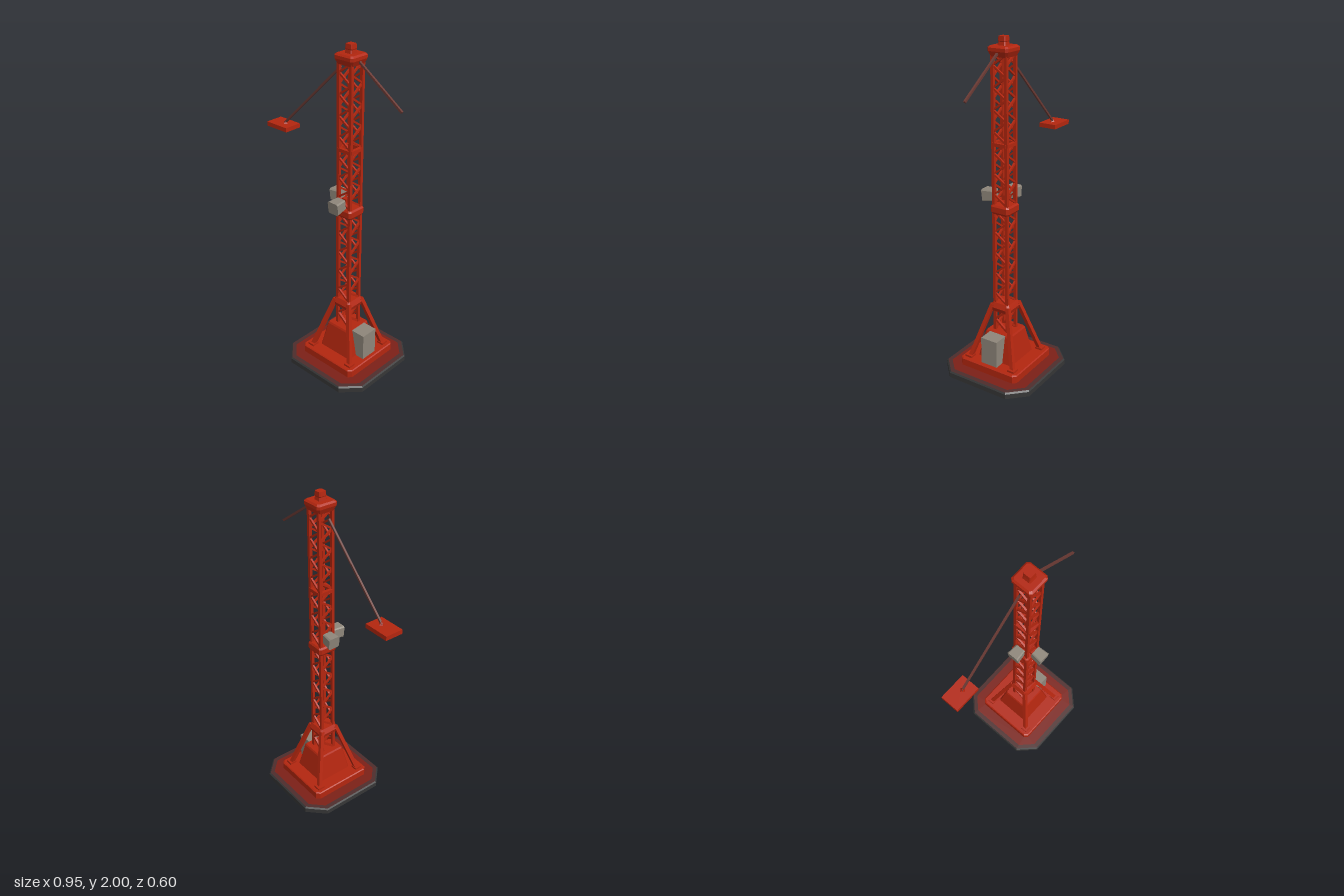
import * as THREE from 'three';

const mat = (name, color) => {
  const m = new THREE.MeshStandardMaterial({ color, flatShading: true, side: THREE.DoubleSide });
  m.name = name;
  return m;
};

// Stacked chamfered squares: each ring is [half width, corner cut, height]
function loft(rings, capBottom = true, capTop = true) {
  const pos = [];
  const loops = rings.map(([h, c, y]) => {
    const k = h - c;
    return [[h, k], [h, -k], [k, -h], [-k, -h], [-h, -k], [-h, k], [-k, h], [k, h]].map(([x, z]) => [x, y, z]);
  });
  const tri = (...p) => p.forEach(v => pos.push(...v));
  for (let r = 0; r < loops.length - 1; r++) {
    for (let i = 0; i < 8; i++) {
      const j = (i + 1) % 8, a = loops[r], b = loops[r + 1];
      tri(a[i], a[j], b[j]);
      tri(a[i], b[j], b[i]);
    }
  }
  const first = loops[0], last = loops[loops.length - 1];
  for (let i = 0; i < 8; i++) {
    const j = (i + 1) % 8;
    if (capBottom) tri([0, first[0][1], 0], first[j], first[i]);
    if (capTop) tri([0, last[0][1], 0], last[i], last[j]);
  }
  const g = new THREE.BufferGeometry();
  g.setAttribute('position', new THREE.Float32BufferAttribute(pos, 3));
  g.computeVertexNormals();
  return g;
}

export function createModel() {
  const red = mat('red paint', 0xb3260f);
  const dark = mat('dark rubber', 0x363636);
  const fadeInner = mat('dull red', 0x7c2017);
  const fadeOuter = mat('brown grey', 0x4e2d2c);
  const grey = mat('warm grey', 0x8e867a);
  const cableMat = mat('cable brown', 0x6b3a34);

  const model = new THREE.Group();
  const tower = new THREE.Group();
  tower.name = 'tower';
  tower.position.x = 0.125;
  model.add(tower);

  const add = (parent, name, geo, material) => {
    const m = new THREE.Mesh(geo, material);
    m.name = name;
    parent.add(m);
    return m;
  };
  const box = (parent, name, size, at, material) => {
    const m = add(parent, name, new THREE.BoxGeometry(...size), material);
    m.position.set(...at);
    return m;
  };
  // Square bar between two points
  const strut = (parent, name, from, to, w, material = red) => {
    const a = new THREE.Vector3(...from), b = new THREE.Vector3(...to);
    const dir = b.clone().sub(a);
    const m = add(parent, name, new THREE.BoxGeometry(w, dir.length(), w), material);
    m.position.copy(a).lerp(b, 0.5);
    m.quaternion.setFromUnitVectors(new THREE.Vector3(0, 1, 0), dir.normalize());
    return m;
  };

  // Foot slab with hollow underside, and its faded top bands
  add(tower, 'footSlab', loft([[0.12, 0.04, 0.035], [0.2, 0.07, 0], [0.28, 0.095, 0], [0.3, 0.1, 0.012],
    [0.3, 0.1, 0.042], [0.293, 0.098, 0.05]], true, false), dark);
  add(tower, 'slabOuterBand', loft([[0.293, 0.098, 0.05], [0.265, 0.075, 0.051]], false, false), fadeOuter);
  add(tower, 'slabInnerBand', loft([[0.265, 0.075, 0.051], [0.2, 0.02, 0.052]], false, false), fadeInner);

  // Plinth and sloping cabin
  add(tower, 'plinth', loft([[0.2, 0.02, 0.05], [0.2, 0.02, 0.095], [0.194, 0.02, 0.1]]), red);
  add(tower, 'cabin', loft([[0.118, 0.008, 0.1], [0.088, 0.008, 0.26], [0.082, 0.008, 0.27]]), red);
  box(tower, 'controlBox', [0.1, 0.17, 0.11], [0.125, 0.183, 0], grey);

  // Splayed legs and main posts
  const corners = [[1, 1], [1, -1], [-1, -1], [-1, 1]];
  for (const [x, z] of corners) {
    strut(tower, 'leg', [x * 0.152, 0.095, z * 0.152], [x * 0.053, 0.44, z * 0.053], 0.024);
    box(tower, 'legFoot', [0.045, 0.014, 0.045], [x * 0.152, 0.105, z * 0.152], red);
    strut(tower, 'post', [x * 0.043, 0.26, z * 0.043], [x * 0.043, 1.94, z * 0.043], 0.018);
  }

  // Lattice: each face zigzags, opposite faces lean the other way
  const lattice = (name, y0, y1, steps, w) => {
    const d = (y1 - y0) / steps, r = 0.043;
    for (let f = 0; f < 4; f++) {
      const side = new THREE.Group();
      side.name = name;
      side.rotation.y = f * Math.PI / 2;
      tower.add(side);
      for (let i = 0; i < steps; i++) {
        const s = i % 2 ? -r : r;
        strut(side, 'brace', [s, y0 + i * d, r], [-s, y0 + (i + 1) * d, r], w);
      }
    }
  };
  lattice('footLattice', 0.27, 0.41, 2, 0.013);
  lattice('lowerLattice', 0.45, 1.03, 9, 0.011);
  lattice('upperLattice', 1.07, 1.91, 14, 0.011);

  // Collars, cap and finial
  add(tower, 'legCollar', loft([[0.062, 0.012, 0.4], [0.07, 0.014, 0.425], [0.055, 0.01, 0.455]]), red);
  add(tower, 'middleCollar', loft([[0.054, 0.012, 1.015], [0.062, 0.012, 1.028], [0.062, 0.012, 1.06], [0.054, 0.01, 1.07]]), red);
  for (const [x, z] of corners) {
    strut(tower, 'upperRing', [x * 0.045, 1.42, z * 0.045], [-z * 0.045, 1.42, x * 0.045], 0.02);
  }
  add(tower, 'topCap', loft([[0.052, 0.008, 1.895], [0.066, 0.012, 1.925], [0.066, 0.012, 1.943], [0.056, 0.01, 1.952]]), red);
  add(tower, 'finial', loft([[0.026, 0.006, 1.95], [0.022, 0.005, 1.97], [0.024, 0.005, 1.975], [0.022, 0.005, 2]]), red);

  // Floodlights on the front and right sides
  const lamp = (name, turn, y) => {
    const g = new THREE.Group();
    g.name = name;
    g.rotation.y = turn;
    tower.add(g);
    const head = add(g, 'lampHead', loft([[0.031, 0.006, -0.035], [0.037, 0.008, 0.035]]), grey);
    head.position.set(0, y, 0.1);
    head.rotation.x = Math.PI / 2 + 0.12;
    box(g, 'lampBracket', [0.03, 0.02, 0.05], [0, y - 0.02, 0.055], red);
  };
  lamp('frontLamp', 0, 1.105);
  lamp('rightLamp', -Math.PI / 2, 1.12);
  tower.getObjectByName('rightLamp').position.x = 0.02;

  // Cables and hanging weight
  strut(model, 'rightCable', [0.055, 1.865, 0], [-0.385, 1.435, 0], 0.011, cableMat);
  strut(model, 'leftCable', [0.17, 1.925, 0], [0.47, 1.715, 0], 0.012, cableMat);
  box(model, 'weight', [0.16, 0.026, 0.11], [-0.4, 1.419, 0], red);
  const hook = add(model, 'weightHook', new THREE.ConeGeometry(0.018, 0.025, 4), red);
  hook.position.set(-0.38, 1.441, 0);
  return model;
}
